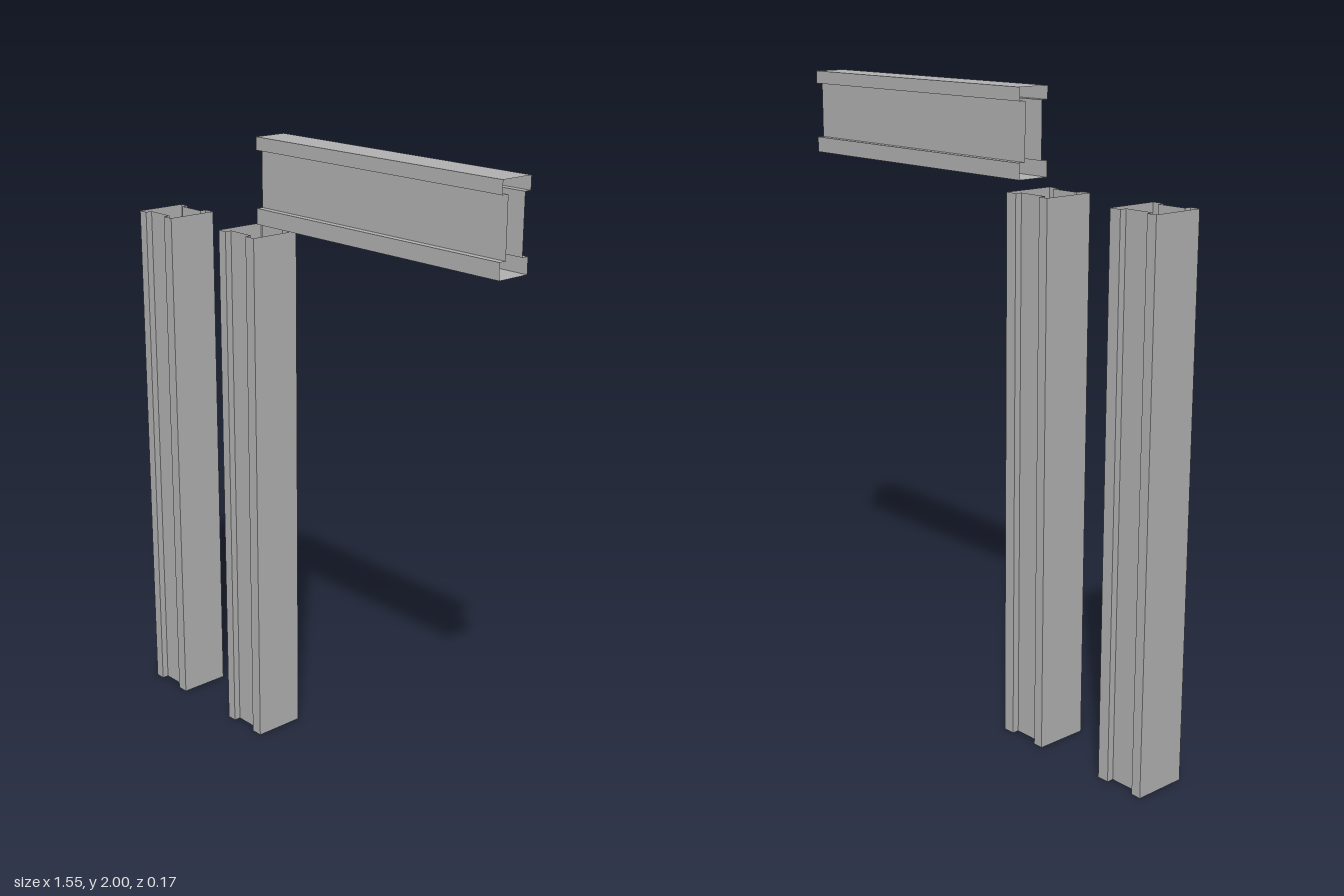
import * as THREE from 'three';

// Outline of a thin hollow section, w wide and d deep, whose front and back
// are recessed by r between a lip of width a (low side) and b (high side).
function sectionOutline(w, d, a, b, r) {
  const u0 = -w / 2, u1 = w / 2, v = d / 2;
  const front = [[u1, v], [u1 - b, v], [u1 - b, v - r], [u0 + a, v - r], [u0 + a, v], [u0, v]];
  const back = front.map(([x, y]) => [x, -y]).reverse();
  return [...front, ...back];
}

// Open-ended sheet swept along z from a closed counter-clockwise outline
function sweepSheet(outline, length) {
  const pos = [], h = length / 2;
  outline.forEach(([ax, ay], i) => {
    const [bx, by] = outline[(i + 1) % outline.length];
    pos.push(ax, ay, -h, bx, by, -h, bx, by, h);
    pos.push(ax, ay, -h, bx, by, h, ax, ay, h);
  });
  const geo = new THREE.BufferGeometry();
  geo.setAttribute('position', new THREE.Float32BufferAttribute(pos, 3));
  geo.computeVertexNormals();
  return geo;
}

export function createModel() {
  const model = new THREE.Group();
  model.name = 'steelFrameProfiles';
  const steel = new THREE.MeshStandardMaterial({ color: 0xb0b0b0, side: THREE.DoubleSide });
  steel.name = 'steel grey';

  // Two upright hollow posts
  const postGeo = sweepSheet(sectionOutline(0.17, 0.17, 0.033, 0.039, 0.022), 1.702);
  postGeo.rotateX(Math.PI / 2);
  [['rightPost', -0.692], ['leftPost', -0.275]].forEach(([name, x]) => {
    const post = new THREE.Mesh(postGeo, steel);
    post.name = name;
    post.position.set(x, 0.851, 0);
    model.add(post);
  });

  // Horizontal header beam of the same kind of section
  const beamGeo = sweepSheet(sectionOutline(0.264, 0.109, 0.049, 0.04, 0.022), 0.992);
  beamGeo.rotateX(Math.PI / 2).rotateZ(Math.PI / 2);
  const beam = new THREE.Mesh(beamGeo, steel);
  beam.name = 'headerBeam';
  beam.position.set(0.279, 1.868, -0.006);
  model.add(beam);

  return model;
}
